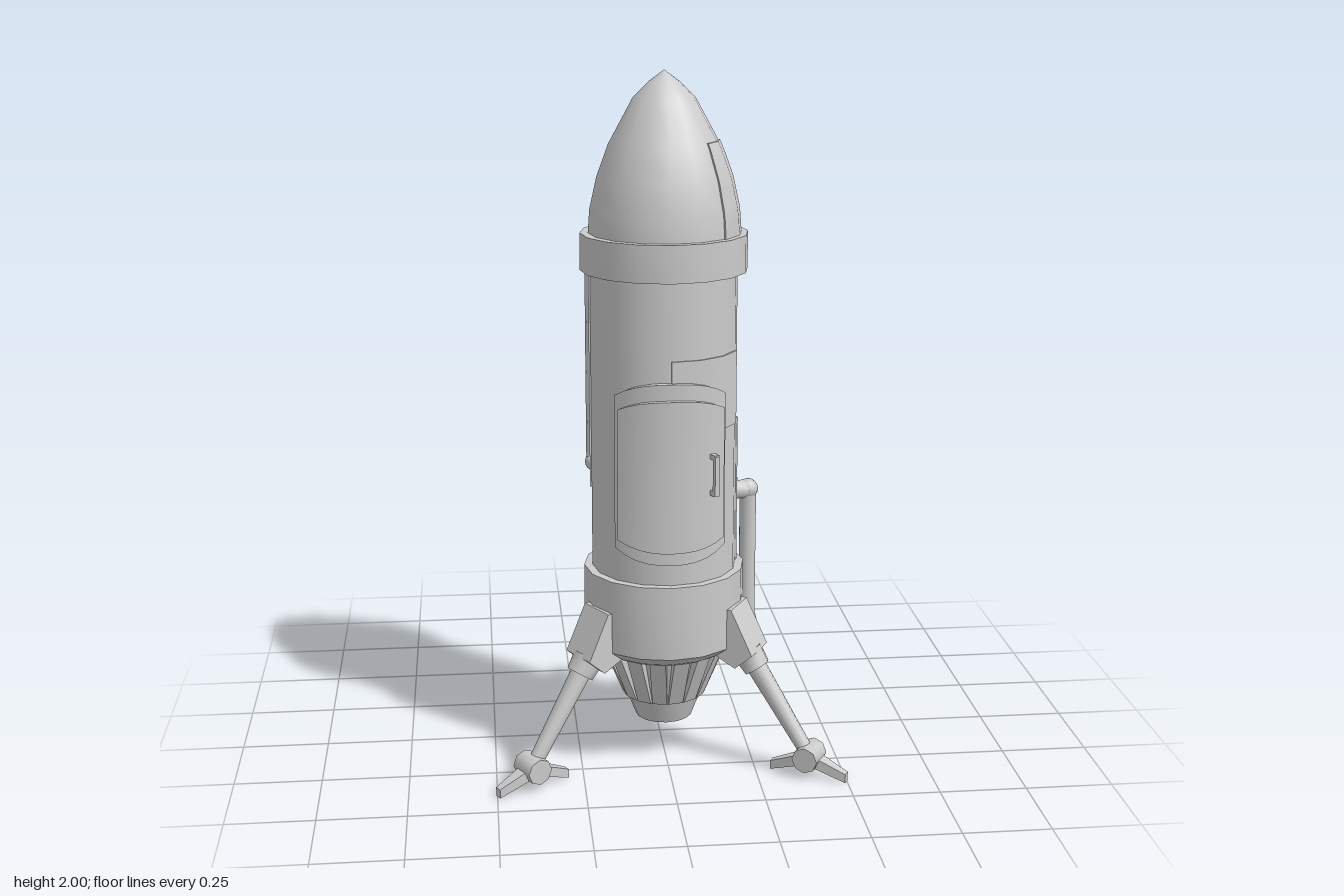
import * as THREE from 'three';
import { toCreasedNormals } from 'three/addons/utils/BufferGeometryUtils.js';

const material = new THREE.MeshStandardMaterial({ color: 0xcccccc });
const SIDES = 16;
const STEP = (Math.PI * 2) / SIDES;
const V = (x, y, z) => new THREE.Vector3(x, y, z);

function add(parent, name, geometry, crease = 0.55) {
  const mesh = new THREE.Mesh(toCreasedNormals(geometry, crease), material);
  mesh.name = name;
  parent.add(mesh);
  return mesh;
}

// Profile is listed from bottom to top
function lathe(parent, name, points) {
  return add(parent, name, new THREE.LatheGeometry(points.map(([r, y]) => new THREE.Vector2(r, y)), SIDES));
}

// Box reshaped by a rule taking u, v, w in 0..1
function mould(segments, rule) {
  const g = new THREE.BoxGeometry(1, 1, 1, ...segments);
  const p = g.attributes.position;
  for (let i = 0; i < p.count; i++) {
    p.setXYZ(i, ...rule(p.getX(i) + 0.5, p.getY(i) + 0.5, p.getZ(i) + 0.5));
  }
  return g;
}

// Curved plate wrapped around the hull; angle 0 faces the front, positive goes to +x
function plate(parent, name, a0, a1, bottom, top, inner, outer, segU, segV = 1) {
  return add(parent, name, mould([segU, segV, 1], (u, v, w) => {
    const a = a0 + (a1 - a0) * u;
    const y = bottom(u) + (top(u) - bottom(u)) * v;
    const r = inner(y) + (outer(y) - inner(y)) * w;
    return [Math.sin(a) * r, y, Math.cos(a) * r];
  }));
}

function rod(parent, name, a, b, ra, rb, sides = 10) {
  const g = new THREE.CylinderGeometry(rb, ra, a.distanceTo(b), sides);
  const dir = b.clone().sub(a).normalize();
  g.applyQuaternion(new THREE.Quaternion().setFromUnitVectors(V(0, 1, 0), dir));
  const c = a.clone().add(b).multiplyScalar(0.5);
  g.translate(c.x, c.y, c.z);
  return add(parent, name, g, 0.9);
}

const noseProfile = [[0.213, 1.55], [0.208, 1.62], [0.188, 1.71], [0.155, 1.8], [0.087, 1.925], [0.045, 1.967], [0, 2]];
function noseRadius(y) {
  let i = 0;
  while (i < noseProfile.length - 2 && noseProfile[i + 1][1] < y) i++;
  const [r0, y0] = noseProfile[i], [r1, y1] = noseProfile[i + 1];
  return r0 + ((r1 - r0) * (y - y0)) / (y1 - y0);
}

// One landing leg, local +z pointing away from the hull
function makeLeg(angle) {
  const leg = new THREE.Group();
  leg.name = 'landingLeg';
  leg.rotation.y = angle;

  const side = new THREE.Shape([[0.19, 0.49], [0.237, 0.49], [0.302, 0.36], [0.25, 0.315], [0.19, 0.345]]
    .map(([d, y]) => new THREE.Vector2(d, y)));
  const housing = new THREE.ExtrudeGeometry(side, { depth: 0.12, bevelEnabled: false });
  housing.translate(0, 0, -0.06);
  housing.rotateY(-Math.PI / 2);
  add(leg, 'legHousing', housing, 0.3);

  const foot = V(0, 0.06, 0.46);
  rod(leg, 'legCollar', V(0, 0.35, 0.265), V(0, 0.305, 0.296), 0.046, 0.04, 8);
  rod(leg, 'legStrut', V(0, 0.33, 0.279), foot, 0.03, 0.021);
  rod(leg, 'footHub', V(-0.042, 0.06, 0.46), V(0.042, 0.06, 0.46), 0.038, 0.038, 8);

  // Toes taper outward and inward from the hub
  for (const s of [1, -1]) {
    const toe = mould([1, 1, 1], (u, v, w) => [
      (u - 0.5) * (0.044 - 0.022 * w),
      0.05 - 0.037 * w + (v - 0.5) * (0.034 - 0.008 * w),
      0.02 + 0.095 * w,
    ]);
    if (s < 0) toe.rotateY(Math.PI);
    toe.translate(0, 0, 0.46);
    add(leg, 'footToe', toe, 0.3);
  }
  return leg;
}

// Vertical pipe with an elbow at each end leading into the hull
function makePipe(x, z, y0, y1) {
  const pipe = new THREE.Group();
  pipe.name = 'pipe';
  pipe.rotation.y = Math.atan2(x, z);
  const d = 0.257;
  rod(pipe, 'pipeRun', V(0, y0, d), V(0, y1, d), 0.025, 0.025);
  for (const y of [y0, y1]) {
    rod(pipe, 'pipeStub', V(0, y, 0.18), V(0, y, d), 0.028, 0.028);
    const elbow = new THREE.SphereGeometry(0.03, 10, 8);
    elbow.translate(0, y, d);
    add(pipe, 'pipeElbow', elbow, 0.9);
  }
  return pipe;
}

export function createModel() {
  const model = new THREE.Group();
  model.name = 'rocket';
  const rocket = new THREE.Group();
  rocket.name = 'rocketAssembly';
  rocket.position.z = 0.12;
  model.add(rocket);

  // Hull, rings and nose
  lathe(rocket, 'hull', [[0.208, 0.5], [0.208, 1.5]]);
  lathe(rocket, 'lowerRing', [[0, 0.335], [0.185, 0.335], [0.203, 0.345], [0.232, 0.37], [0.232, 0.585], [0.2, 0.585]]);
  lathe(rocket, 'upperRing', [[0.2, 1.45], [0.236, 1.45], [0.236, 1.555], [0.2, 1.555]]);
  lathe(rocket, 'noseCone', noseProfile);

  // Engine: core, ribs and nozzle
  lathe(rocket, 'engineCore', [[0, 0.19], [0.115, 0.19], [0.163, 0.345]]);
  lathe(rocket, 'nozzle', [[0, 0.115], [0.083, 0.115], [0.113, 0.195]]);
  for (let i = 0; i < SIDES; i++) {
    const rib = mould([1, 1, 1], (u, v, w) => [
      (u - 0.5) * (0.043 + 0.004 * v),
      0.188 + 0.152 * v,
      0.09 + 0.055 * v + w * (0.03 + 0.008 * v),
    ]);
    rib.rotateY((i + 0.5) * STEP);
    add(rocket, 'engineRib', rib, 0.3);
  }

  // Thin hull plates, spans counted in hull sides
  const hullPlates = [
    [0, 3, 1.02, 1.23],
    [4, 6, 0.58, 1.015],
    [8, 10, 1.22, 1.45],
    [10, 12, 0.82, 1.45],
  ];
  for (const [a, b, y0, y1] of hullPlates) {
    plate(rocket, 'hullPlate', a * STEP, b * STEP, () => y0, () => y1, () => 0.2, () => 0.213, b - a);
  }
  for (const [a, b, y1] of [[2, 4, 1.81], [8, 10, 1.92]]) {
    plate(rocket, 'nosePlate', a * STEP, b * STEP, () => 1.555, () => y1,
      (y) => noseRadius(y) - 0.01, (y) => noseRadius(y) + 0.005, b - a, 10);
  }

  // Door frame and door, bowed at top and bottom
  const bow = (mid, drop) => (u) => mid - drop * Math.pow(Math.abs(2 * u - 1), 2.5);
  plate(rocket, 'doorFrame', -0.755, 0.755, bow(0.65, -0.04), bow(1.17, 0.04), () => 0.2, () => 0.226, 10);
  plate(rocket, 'door', -0.66, 0.66, bow(0.69, -0.03), bow(1.125, 0.03), () => 0.21, () => 0.243, 10);

  // Door handle
  const handle = new THREE.Group();
  handle.name = 'doorHandle';
  handle.rotation.y = 0.485;
  rocket.add(handle);
  for (const [h, y, z, depth] of [[0.11, 0.91, 0.262, 0.012], [0.014, 0.858, 0.25, 0.03], [0.014, 0.962, 0.25, 0.03]]) {
    const bar = new THREE.BoxGeometry(0.016, h, depth);
    bar.translate(0, y, z);
    add(handle, 'handleBar', bar, 0.3);
  }

  // Three legs and two pairs of pipes
  for (const a of [Math.PI / 3, -Math.PI / 3, Math.PI]) rocket.add(makeLeg(a));
  rocket.add(makePipe(0.255, -0.05, 0.38, 0.785));
  rocket.add(makePipe(0.21, -0.155, 0.38, 0.785));
  rocket.add(makePipe(-0.1, -0.242, 0.845, 1.265));
  rocket.add(makePipe(-0.19, -0.178, 0.845, 1.455));
  return model;
}
